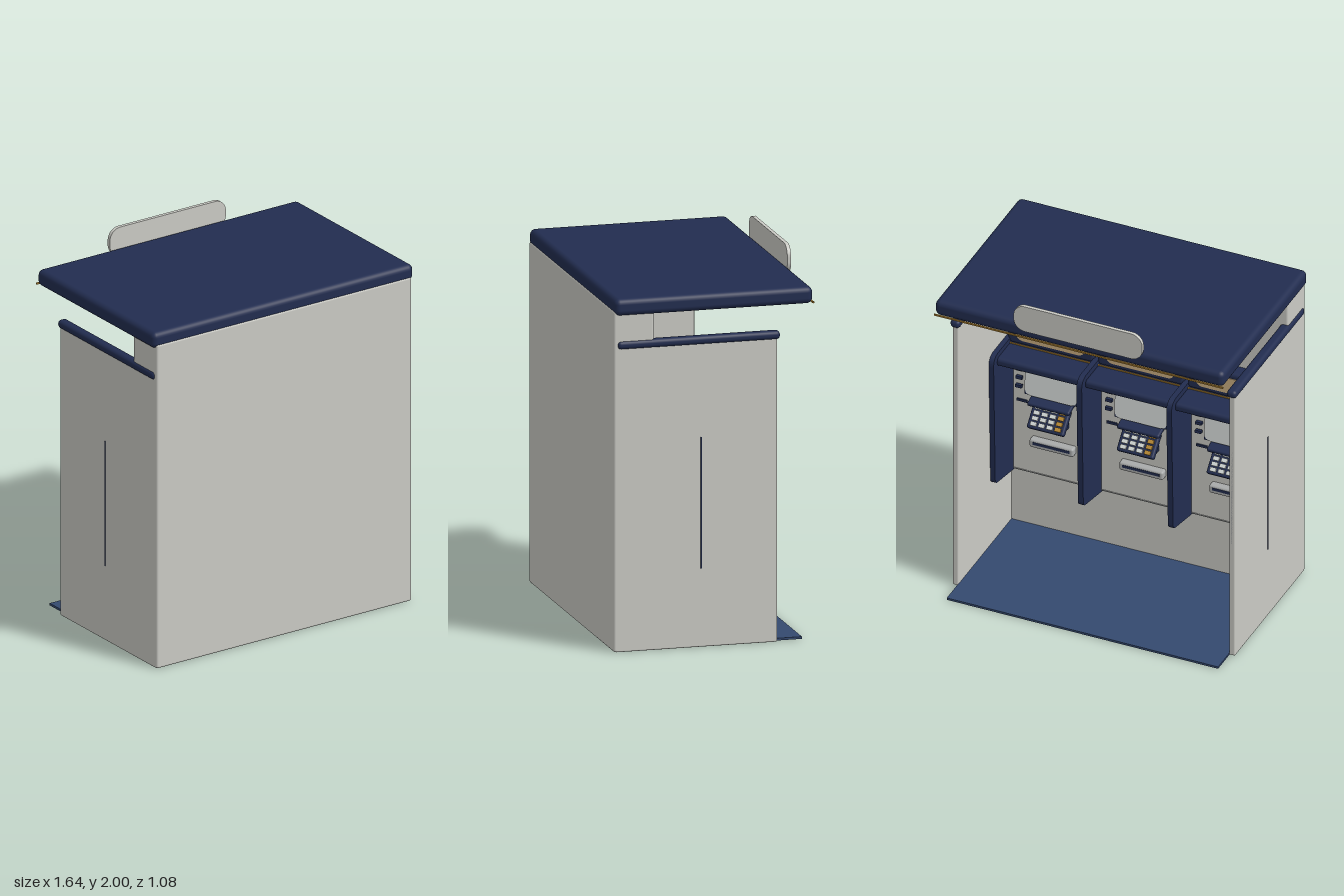
import * as THREE from 'three';
import { RoundedBoxGeometry } from 'three/addons/geometries/RoundedBoxGeometry.js';

const mat = (name, color) => {
  const m = new THREE.MeshStandardMaterial({ color });
  m.name = name;
  return m;
};

export function createModel() {
  const root = new THREE.Group();
  root.name = 'bankingKiosk';
  const grey = mat('warmGrey', 0xcbcbc5);
  const navy = mat('navy', 0x222d50);
  const blue = mat('matBlue', 0x34496f);
  const gold = mat('gold', 0xb98a35);
  const lamp = mat('lampTan', 0xcdb083);
  const glass = mat('screenGrey', 0xd3d8d6);
  const steel = mat('steel', 0xa9abab);

  const add = (parent, name, geo, material, x = 0, y = 0, z = 0) => {
    const m = new THREE.Mesh(geo, material);
    m.name = name;
    m.position.set(x, y, z);
    parent.add(m);
    return m;
  };
  const box = (w, h, d) => new THREE.BoxGeometry(w, h, d);
  const rbox = (w, h, d, r) => new RoundedBoxGeometry(w, h, d, 3, r);

  // Upright plate with rounded corners, facing +z
  const plate = (w, h, r, d, segments = 8) => {
    const s = new THREE.Shape();
    const a = w / 2 - r, b = h / 2 - r;
    s.absarc(a, b, r, 0, Math.PI / 2);
    s.absarc(-a, b, r, Math.PI / 2, Math.PI);
    s.absarc(-a, -b, r, Math.PI, Math.PI * 1.5);
    s.absarc(a, -b, r, Math.PI * 1.5, Math.PI * 2);
    return new THREE.ExtrudeGeometry(s, { depth: d, bevelEnabled: false, curveSegments: segments });
  };

  // Thick service wall, side walls and floor
  add(root, 'serviceWall', rbox(1.605, 1.815, 0.215, 0.012), grey, 0, 0.9125, 0.4325);
  add(root, 'floorMat', box(1.54, 0.012, 0.82), blue, 0, 0.01, -0.07);
  for (const s of [-1, 1]) {
    add(root, 'sideWall', rbox(0.035, 1.615, 0.87, 0.008), grey, s * 0.785, 0.8125, 0.095);
    add(root, 'sideWallCap', rbox(0.055, 0.045, 0.875, 0.02), navy, s * 0.785, 1.637, 0.083);
    add(root, 'sideSeam', box(0.006, 0.7, 0.006), navy, s * 0.803, 0.772, 0.07);
    add(root, 'edgeHandle', box(0.012, 0.58, 0.006), steel, s * 0.785, 0.99, -0.337);
  }

  // Roof, its trims and the blank sign
  add(root, 'roof', rbox(1.64, 0.09, 1.065, 0.03), navy, 0, 1.84, 0.0045);
  add(root, 'roofTrim', box(1.64, 0.008, 0.008), gold, 0, 1.802, -0.529);
  add(root, 'roofLight', box(1.4, 0.014, 0.014), lamp, 0, 1.789, -0.478);
  add(root, 'signBoard', plate(0.73, 0.155, 0.065, 0.02), grey, 0, 1.922, -0.537);

  // Navy divider with a raked lower edge, drawn as a (z, y) profile
  const finShape = new THREE.Shape();
  finShape.moveTo(0.33, 0.345);
  finShape.lineTo(0.33, 1.2);
  finShape.lineTo(0.1, 1.2);
  finShape.quadraticCurveTo(0.04, 1.2, 0.04, 1.14);
  finShape.lineTo(0.06, 0.43);
  finShape.quadraticCurveTo(0.06, 0.4, 0.09, 0.395);
  const finGeo = new THREE.ExtrudeGeometry(finShape, { depth: 0.03, bevelEnabled: false });
  finGeo.rotateY(-Math.PI / 2);
  finGeo.translate(0.015, 0, 0);
  for (const x of [-0.755, -0.255, 0.255, 0.755]) add(root, 'divider', finGeo, navy, x);

  // Screen with cut corners
  const screenGeo = plate(0.3, 0.21, 0.035, 0.006, 1);

  // One machine, standing off the wall toward its own +z
  const machine = () => {
    const g = new THREE.Group();
    g.name = 'cashMachine';
    add(g, 'fascia', box(0.48, 0.76, 0.05), grey, 0, 0.74, 0.015);
    add(g, 'fasciaSeam', box(0.48, 0.006, 0.004), steel, 0, 0.365, 0.041);
    add(g, 'canopy', rbox(0.5, 0.05, 0.24, 0.02), navy, 0, 1.145, 0.125);

    // Illuminated header
    add(g, 'header', rbox(0.49, 0.155, 0.09, 0.02), navy, 0, 1.25, 0.04);
    add(g, 'headerLamp', plate(0.39, 0.095, 0.04, 0.006), lamp, 0, 1.25, 0.083);
    add(g, 'headerTrim', box(0.49, 0.007, 0.008), gold, 0, 1.172, 0.085);

    // Screen leaning back, with selection buttons
    const display = new THREE.Group();
    display.name = 'display';
    display.position.set(0, 0.975, 0.055);
    display.rotation.x = -0.1;
    g.add(display);
    add(display, 'screenFrame', box(0.3, 0.21, 0.03), navy);
    add(display, 'screen', screenGeo, glass, 0, 0, 0.014);
    for (const s of [-1, 1]) {
      for (let i = 0; i < 4; i++) {
        add(display, 'sideButton', box(0.035, 0.016, 0.02), navy, s * 0.19, -0.075 + i * 0.05, 0);
      }
    }

    // Sloped keypad under a visor
    const pad = new THREE.Group();
    pad.name = 'keypad';
    pad.position.set(0, 0.765, 0.1);
    pad.rotation.x = -0.75;
    g.add(pad);
    add(pad, 'keypadTray', rbox(0.21, 0.14, 0.035, 0.01), navy);
    for (let r = 0; r < 4; r++) {
      for (let c = 0; c < 4; c++) {
        add(pad, 'key', box(0.034, 0.022, 0.012), c === 3 ? gold : glass,
          -0.069 + c * 0.046, 0.045 - r * 0.03, 0.021);
      }
    }
    add(g, 'keypadBracket', box(0.17, 0.09, 0.07), navy, 0, 0.745, 0.06);
    const visor = add(g, 'keypadVisor', rbox(0.24, 0.025, 0.08, 0.01), navy, 0, 0.845, 0.08);
    visor.rotation.x = 0.25;

    // Card reader, receipt and cash slots
    add(g, 'cardReader', rbox(0.06, 0.035, 0.03, 0.01), steel, 0.18, 0.8, 0.05);
    add(g, 'cardSlot', box(0.045, 0.008, 0.006), navy, 0.18, 0.8, 0.064);
    add(g, 'receiptSlot', box(0.06, 0.014, 0.01), navy, -0.18, 0.8, 0.042);
    add(g, 'cashTray', rbox(0.25, 0.05, 0.05, 0.012), steel, 0, 0.57, 0.055);
    add(g, 'cashSlot', box(0.21, 0.016, 0.006), navy, 0, 0.575, 0.079);
    return g;
  };
  for (const x of [-0.51, 0, 0.51]) {
    const m = machine();
    m.position.set(x, 0, 0.33);
    m.rotation.y = Math.PI;
    root.add(m);
  }
  return root;
}
